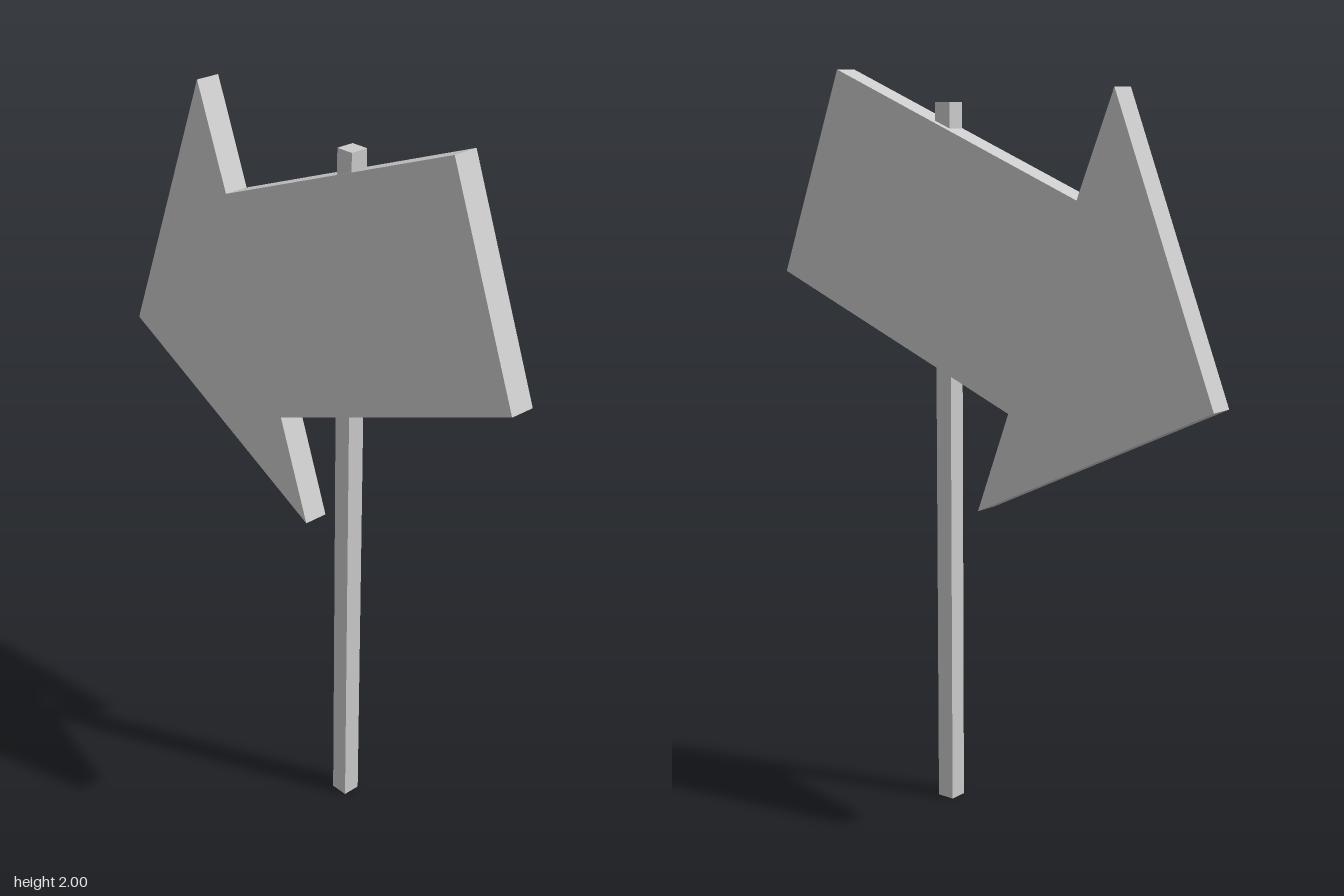
import * as THREE from 'three';

export function createModel() {
  const group = new THREE.Group();
  const material = new THREE.MeshStandardMaterial({ color: 0xcccccc, flatShading: true });

  // Square post
  const postHeight = 1.915;
  const post = new THREE.Mesh(new THREE.BoxGeometry(0.05, postHeight, 0.05), material);
  post.name = 'post';
  post.position.set(-0.006, postHeight / 2, 0.14);
  group.add(post);

  // Tilted arrow board, outline as (-z, y)
  const outline = [
    [-0.503, 2.0], [-0.725, 1.44], [0.09, 1.12], [-0.017, 0.843],
    [0.722, 1.195], [0.425, 1.955], [0.312, 1.68],
  ].map(([u, v]) => new THREE.Vector2(u, v));
  const thickness = 0.07;
  const geometry = new THREE.ExtrudeGeometry(new THREE.Shape(outline), {
    depth: thickness, bevelEnabled: false,
  });
  geometry.translate(0, 0, -thickness / 2).rotateY(Math.PI / 2);

  // Lean the board slightly out of the vertical plane
  const p = geometry.attributes.position;
  for (let i = 0; i < p.count; i++) {
    p.setX(i, p.getX(i) - 0.0205 - 0.027 * p.getZ(i) + 0.014 * p.getY(i));
  }
  geometry.computeVertexNormals();
  const board = new THREE.Mesh(geometry, material);
  board.name = 'arrowBoard';
  group.add(board);

  return group;
}
